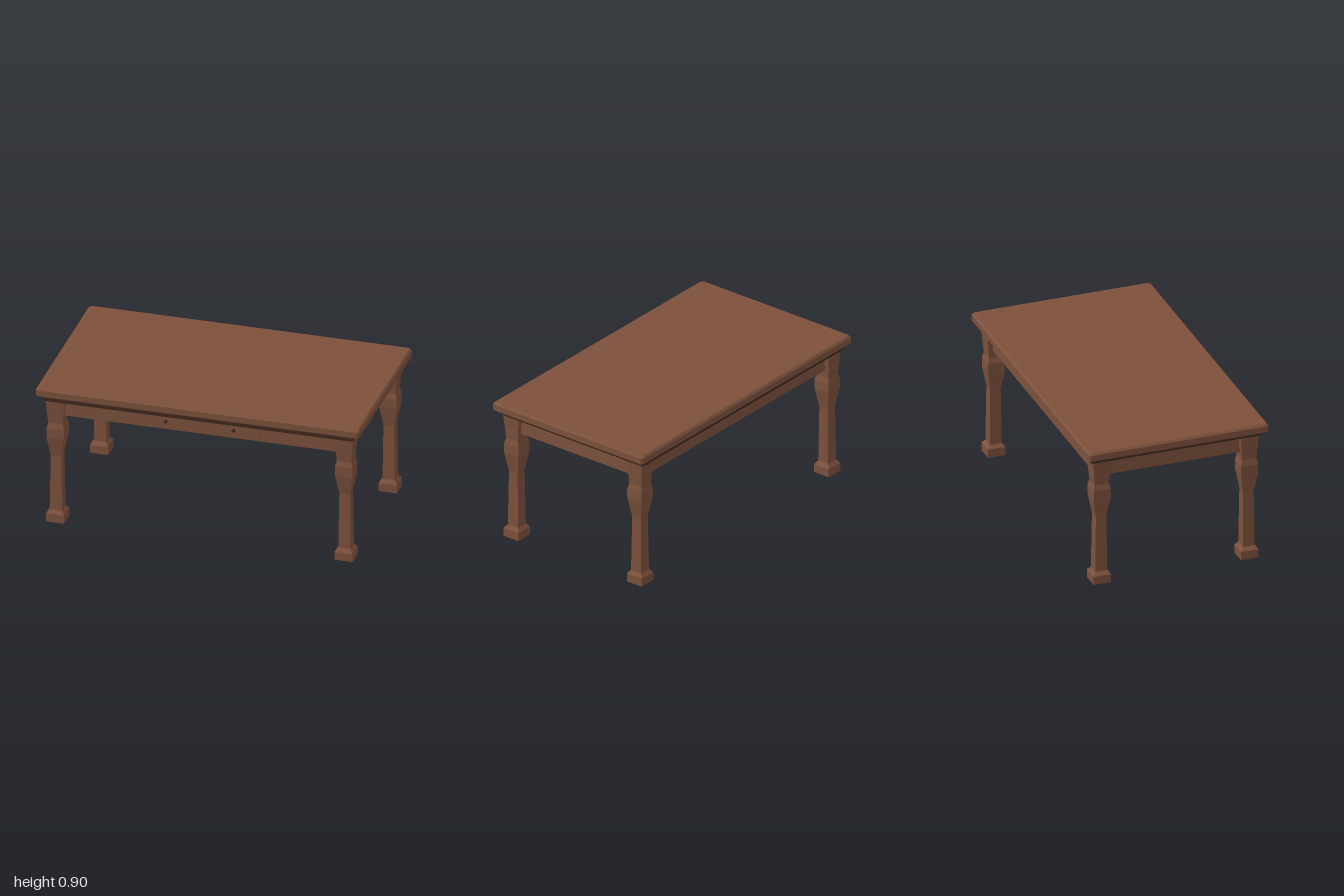
import * as THREE from 'three';

const wood = new THREE.MeshStandardMaterial({ color: 0x7d513c });
wood.name = 'brown wood';
const darkWood = new THREE.MeshStandardMaterial({ color: 0x40291f });
darkWood.name = 'dark wood';

// Rectangle outline with cut corners, counter-clockwise seen from above
function ring(y, hx, hz, cut) {
  const corners = [[1, -1], [-1, -1], [-1, 1], [1, 1]];
  const points = [];
  corners.forEach(([sx, sz], i) => {
    const alongZ = [sx * hx, y, sz * (hz - cut)];
    const alongX = [sx * (hx - cut), y, sz * hz];
    if (cut === 0) points.push(alongX);
    else if (i % 2 === 0) points.push(alongZ, alongX);
    else points.push(alongX, alongZ);
  });
  return points;
}

// Flat-faced solid stacked from levels [y, halfX, halfZ], lowest first
function loft(levels, cut = 0) {
  const rings = levels.map(([y, hx, hz]) => ring(y, hx, hz, cut));
  const n = rings[0].length;
  const pos = [];
  const tri = (a, b, c) => pos.push(...a, ...b, ...c);
  for (let k = 0; k < rings.length - 1; k++) {
    const lo = rings[k], hi = rings[k + 1];
    for (let i = 0; i < n; i++) {
      const j = (i + 1) % n;
      tri(lo[i], lo[j], hi[j]);
      tri(lo[i], hi[j], hi[i]);
    }
  }
  const bottom = rings[0], top = rings[rings.length - 1];
  for (let i = 1; i < n - 1; i++) {
    tri(bottom[0], bottom[i + 1], bottom[i]);
    tri(top[0], top[i], top[i + 1]);
  }
  const geo = new THREE.BufferGeometry();
  geo.setAttribute('position', new THREE.Float32BufferAttribute(pos, 3));
  geo.computeVertexNormals();
  return geo;
}

export function createModel() {
  const table = new THREE.Group();
  table.name = 'table';
  const add = (name, geo, mat, x = 0, y = 0, z = 0) => {
    const mesh = new THREE.Mesh(geo, mat);
    mesh.name = name;
    mesh.position.set(x, y, z);
    table.add(mesh);
    return mesh;
  };

  // Bevelled top and the dark moulding plate beneath it
  add('tabletop', loft([
    [0.838, 0.982, 0.552], [0.852, 1, 0.57], [0.889, 1, 0.57], [0.902, 0.988, 0.558],
  ], 0.012), wood);
  add('moulding', loft([
    [0.809, 0.951, 0.536], [0.815, 0.957, 0.542], [0.833, 0.957, 0.542], [0.839, 0.951, 0.536],
  ], 0.006), darkWood);

  // Square legs with a foot block, slim shaft, bulge and flared head
  const legProfile = [
    [0, 0.056], [0.053, 0.056], [0.075, 0.038], [0.435, 0.033],
    [0.56, 0.054], [0.62, 0.054], [0.655, 0.045], [0.812, 0.058],
  ];
  const legGeo = loft(legProfile.map(([y, h]) => [y, h, h]));
  for (const sx of [-1, 1])
    for (const sz of [-1, 1])
      add(`${sz > 0 ? 'front' : 'back'}${sx > 0 ? 'Left' : 'Right'}Leg`,
        legGeo, wood, sx * 0.892, 0, sz * 0.467);

  // Aprons, whose ends just break through the legs
  const longApron = new THREE.BoxGeometry(1.886, 0.107, 0.045);
  const shortApron = new THREE.BoxGeometry(0.045, 0.107, 1.036);
  for (const s of [-1, 1]) {
    add(s > 0 ? 'frontApron' : 'backApron', longApron, wood, 0, 0.7575, s * 0.467);
    add(s > 0 ? 'leftApron' : 'rightApron', shortApron, wood, s * 0.892, 0.7575, 0);
  }

  // Drawer front with two round knobs
  add('drawerFront', new THREE.BoxGeometry(0.735, 0.086, 0.02), wood, 0, 0.767, 0.49);
  const knobProfile = [[0, 0], [0.005, 0], [0.005, 0.015], [0.011, 0.018], [0.011, 0.025], [0.007, 0.03], [0, 0.03]]
    .map(([r, h]) => new THREE.Vector2(r, h));
  const knobGeo = new THREE.LatheGeometry(knobProfile, 16).toNonIndexed();
  knobGeo.computeVertexNormals();
  for (const s of [-1, 1])
    add('drawerKnob', knobGeo, darkWood, s * 0.21, 0.768, 0.499).rotation.x = Math.PI / 2;

  return table;
}
